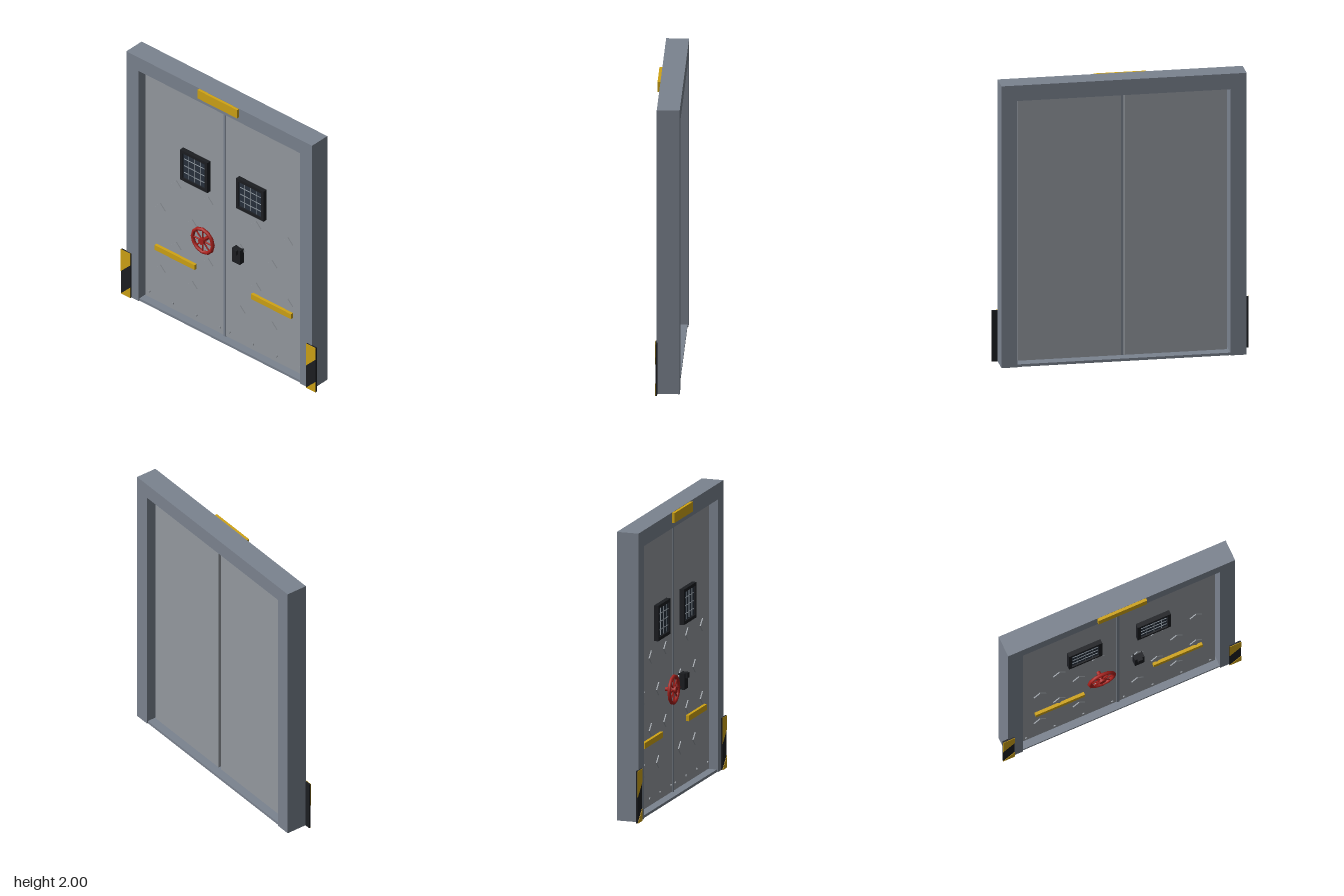
import * as THREE from 'three';

const mat = (color) => new THREE.MeshStandardMaterial({ color });
const steel = mat(0x7b838f), panel = mat(0x959aa0), yellow = mat(0xcfa315), black = mat(0x1c1e22),
  red = mat(0xa8201c), glass = mat(0x27303c), wire = mat(0x8b949c);

export function createModel() {
  const root = new THREE.Group();
  const add = (parent, name, geo, material, x = 0, y = 0, z = 0) => {
    const m = new THREE.Mesh(geo, material);
    m.name = name;
    m.position.set(x, y, z);
    parent.add(m);
    return m;
  };
  // box given by its limits on each axis
  const box = (parent, name, material, x0, x1, y0, y1, z0, z1) =>
    add(parent, name, new THREE.BoxGeometry(x1 - x0, y1 - y0, z1 - z0), material,
      (x0 + x1) / 2, (y0 + y1) / 2, (z0 + z1) / 2);
  const group = (name, x = 0, y = 0, z = 0) => {
    const g = new THREE.Group();
    g.name = name;
    g.position.set(x, y, z);
    root.add(g);
    return g;
  };
  const front = 0.01; // front plane of the door leaves

  // surround: one arch-shaped extrusion
  const arch = new THREE.Shape([[-0.84, 0], [-0.73, 0], [-0.73, 1.89], [0.73, 1.89], [0.73, 0],
    [0.84, 0], [0.84, 2], [-0.84, 2]].map(([x, y]) => new THREE.Vector2(x, y)));
  add(root, 'doorFrame', new THREE.ExtrudeGeometry(arch, { depth: 0.155, bevelEnabled: false }), steel, 0, 0, -0.087);
  box(root, 'threshold', steel, -0.73, 0.73, 0, 0.018, -0.08, 0.06);
  box(root, 'headSign', yellow, -0.18, 0.18, 1.93, 1.998, 0.066, 0.088);
  box(root, 'centreSeal', steel, -0.009, 0.009, 0.02, 1.89, -0.008, 0.014);

  for (const s of [-1, 1]) {
    const side = s < 0 ? 'right' : 'left';
    // door leaf with its row of bolts and push bar
    add(root, side + 'Leaf', new THREE.BoxGeometry(0.705, 1.862, 0.035), panel, s * 0.3645, 0.957, front - 0.0175);
    add(root, side + 'PushBar', new THREE.BoxGeometry(0.362, 0.04, 0.022), yellow, s * 0.436, 0.475, front + 0.011);
    for (let i = 0; i < 4; i++) {
      const bolt = add(root, 'bolt', new THREE.CylinderGeometry(0.009, 0.009, 0.008, 8), panel,
        s * (0.043 + i * 0.213), 0.075, front + 0.004);
      bolt.rotation.x = Math.PI / 2;
    }

    // window: rim, glass and wire grid
    const win = group(side + 'Window', s * 0.254, 1.272, front);
    const h = 0.123, r = 0.1;
    box(win, 'rimTop', black, -h, h, r, h, 0, 0.032);
    box(win, 'rimBottom', black, -h, h, -h, -r, 0, 0.032);
    box(win, 'rimLeft', black, r, h, -r, r, 0, 0.032);
    box(win, 'rimRight', black, -h, -r, -r, r, 0, 0.032);
    box(win, 'pane', glass, -r, r, -r, r, 0, 0.022);
    for (const d of [-0.056, 0, 0.056]) {
      box(win, 'wireUpright', wire, d - 0.002, d + 0.002, -0.095, 0.095, 0.022, 0.026);
      box(win, 'wireCross', wire, -0.095, 0.095, d - 0.002, d + 0.002, 0.022, 0.026);
    }

    // striped corner guard: dark plate with yellow ends cut on the slant
    const guard = group(side + 'Guard', s * 0.838, 0, 0.064);
    box(guard, 'guardPlate', black, -0.043, 0.043, 0, 0.362, 0, 0.012);
    const ends = [
      [[-0.043, 0.182], [0.043, 0.268], [0.043, 0.362], [-0.043, 0.362]],
      [[-0.043, 0], [0.043, 0], [0.043, 0.086]],
    ];
    for (const pts of ends) {
      const shape = new THREE.Shape(pts.map(([x, y]) => new THREE.Vector2(x, y)));
      add(guard, 'guardStripe', new THREE.ExtrudeGeometry(shape, { depth: 0.003, bevelEnabled: false }), yellow, 0, 0, 0.012);
    }
  }

  // staggered raised diamonds, the same pattern on both leaves
  for (const x0 of [-0.58, 0.142]) {
    for (let row = 0; row < 4; row++) {
      for (let col = 0; col < 2; col++) {
        const d = add(root, 'diamond', new THREE.BoxGeometry(0.064, 0.064, 0.008), panel,
          x0 + col * 0.288 + (row % 2) * 0.144, 0.295 + row * 0.2525, front + 0.004);
        d.rotation.z = Math.PI / 4;
      }
    }
  }

  // hand wheel: rim, eight spokes, hub and shaft
  const wheel = group('handWheel', -0.147, 0.766, 0.07);
  add(wheel, 'wheelRim', new THREE.TorusGeometry(0.092, 0.013, 8, 12), red);
  for (let i = 0; i < 8; i++) {
    const a = (i * Math.PI) / 4;
    const spoke = add(wheel, 'spoke', new THREE.CylinderGeometry(0.006, 0.006, 0.085, 6), red,
      -Math.sin(a) * 0.046, Math.cos(a) * 0.046, 0);
    spoke.rotation.z = a;
  }
  const hub = add(wheel, 'hub', new THREE.CylinderGeometry(0.024, 0.024, 0.032, 12), red, 0, 0, 0.004);
  const shaft = add(wheel, 'shaft', new THREE.CylinderGeometry(0.014, 0.014, 0.06, 10), red, 0, 0, -0.03);
  hub.rotation.x = shaft.rotation.x = Math.PI / 2;

  // lock box with hooded head
  const lock = group('lockBox', 0.14, 0.763, front);
  box(lock, 'lockBody', black, -0.035, 0.035, -0.056, 0.056, 0, 0.045);
  box(lock, 'lockHead', black, -0.018, 0.018, 0.022, 0.058, 0.045, 0.062);

  return root;
}
